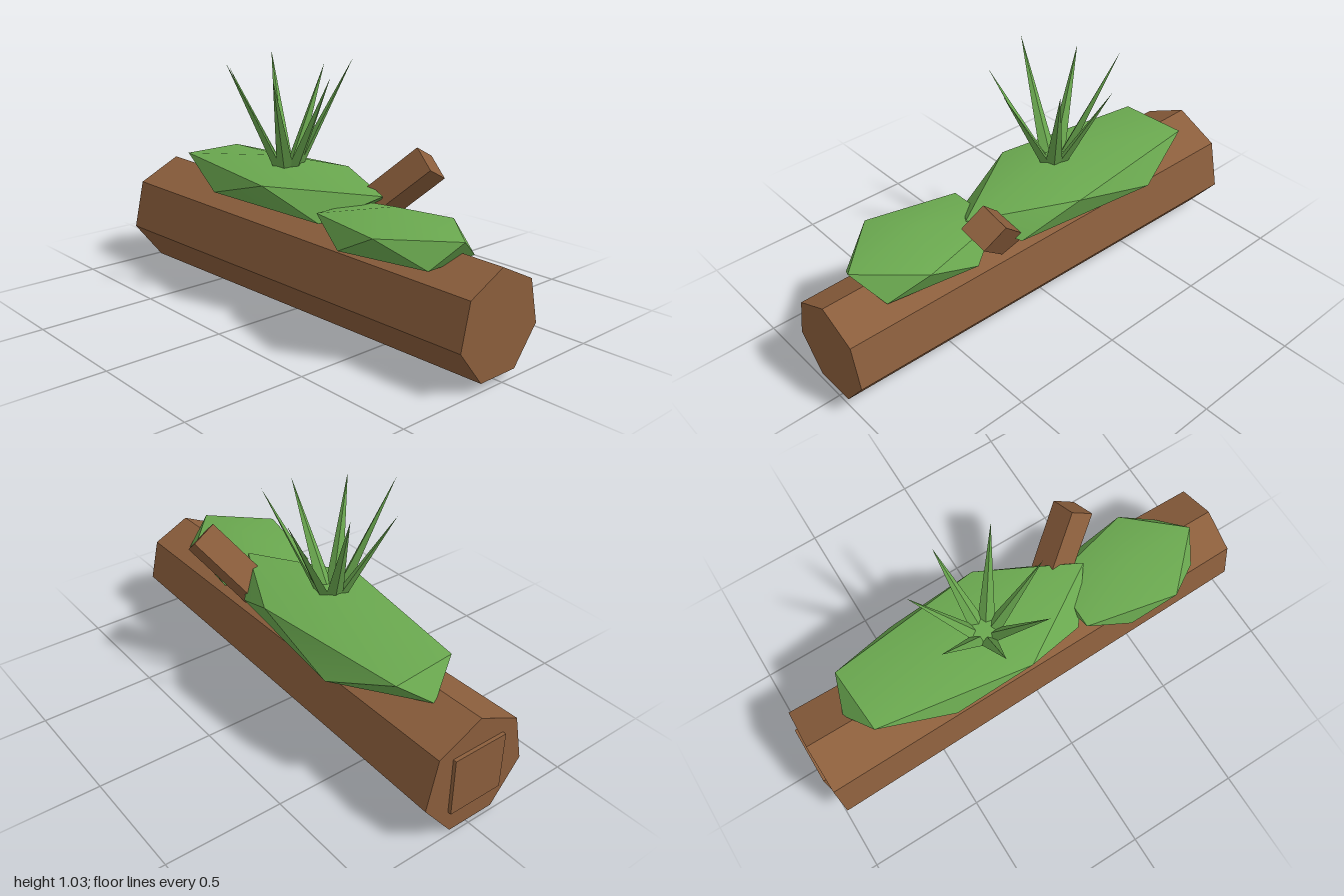
import * as THREE from 'three';
import { toCreasedNormals } from 'three/addons/utils/BufferGeometryUtils.js';

const bark = new THREE.MeshStandardMaterial({ color: 0x8b5e3c, name: 'bark' });
const leaf = new THREE.MeshStandardMaterial({ color: 0x6aa84f, name: 'leaf green' });

function part(name, geometry, material, crease = 0.1) {
  const mesh = new THREE.Mesh(toCreasedNormals(geometry, crease), material);
  mesh.name = name;
  return mesh;
}

// Faceted moss cushion: two staggered five-point rings closed by a crown and a base point
function mossGeometry(crown, upper, lower, base) {
  const points = [];
  for (let i = 0; i < 5; i++) {
    const j = (i + 1) % 5;
    points.push(...crown, ...upper[i], ...upper[j]);
    points.push(...upper[i], ...lower[i], ...upper[j]);
    points.push(...lower[i], ...lower[j], ...upper[j]);
    points.push(...lower[j], ...lower[i], ...base);
  }
  const geometry = new THREE.BufferGeometry();
  geometry.setAttribute('position', new THREE.Float32BufferAttribute(points, 3));
  return geometry;
}

// Slim four-sided blade from base to tip, its broad side facing outward
function bladeGeometry(base, tip, outward) {
  const axis = tip.clone().sub(base);
  const length = axis.length();
  axis.normalize();
  const side = new THREE.Vector3().crossVectors(axis, outward).normalize();
  const face = new THREE.Vector3().crossVectors(side, axis);
  const geometry = new THREE.ConeGeometry(1, length, 4);
  geometry.translate(0, length / 2, 0);
  geometry.scale(0.036, 1, 0.02);
  geometry.applyMatrix4(new THREE.Matrix4().makeBasis(side, axis, face).setPosition(base));
  return geometry;
}

export function createModel() {
  const model = new THREE.Group();
  model.name = 'mossyLog';

  // Tapered seven-sided log lying along x
  const log = new THREE.CylinderGeometry(0.212, 0.248, 1.985, 7, 1, false, -Math.PI / 2);
  log.rotateZ(-Math.PI / 2).translate(0.0075, 0.227, 0.025);
  model.add(part('log', log, bark));

  // Raised square plate on the thick end
  const plate = new THREE.BoxGeometry(0.03, 0.25, 0.25).translate(-0.985, 0.227, 0.025);
  model.add(part('endPlate', plate, bark));

  // Broken branch stub leaning up and back
  const axis = new THREE.Vector3(0.62, 0.655, -0.433).normalize();
  const across = new THREE.Vector3(0.09, -0.072, 0.02);
  across.addScaledVector(axis, -across.dot(axis)).normalize();
  const depth = new THREE.Vector3().crossVectors(across, axis);
  const branch = new THREE.BoxGeometry(0.118, 0.5, 0.12).translate(0, -0.25, 0);
  branch.applyMatrix4(new THREE.Matrix4().makeBasis(across, axis, depth).setPosition(0.437, 0.66, -0.225));
  model.add(part('branch', branch, bark));

  // Moss cushions
  model.add(part('largeMoss', mossGeometry(
    [-0.2, 0.614, 0],
    [[0.37, 0.545, -0.03], [-0.05, 0.555, -0.24], [-0.74, 0.55, -0.16], [-0.72, 0.555, 0.13], [-0.05, 0.55, 0.235]],
    [[0.2, 0.44, -0.17], [-0.45, 0.44, -0.25], [-0.8, 0.445, -0.02], [-0.4, 0.45, 0.22], [0.22, 0.44, 0.17]],
    [-0.2, 0.41, 0]), leaf, 0.6));
  model.add(part('smallMoss', mossGeometry(
    [0.52, 0.555, 0.06],
    [[0.86, 0.5, 0.06], [0.63, 0.495, -0.145], [0.24, 0.495, -0.05], [0.24, 0.495, 0.2], [0.63, 0.505, 0.285]],
    [[0.79, 0.405, -0.08], [0.4, 0.405, -0.14], [0.23, 0.42, 0.05], [0.43, 0.405, 0.265], [0.8, 0.405, 0.18]],
    [0.52, 0.38, 0.05]), leaf, 0.6));

  // Tuft of seven blades fanning outward
  const tuft = new THREE.Group();
  tuft.name = 'grassTuft';
  const tipHeights = [0.985, 0.985, 1.035, 0.985, 1.035, 0.985, 1.035];
  tipHeights.forEach((height, i) => {
    const angle = (i / 7) * Math.PI * 2;
    const outward = new THREE.Vector3(Math.cos(angle), 0, Math.sin(angle));
    const base = new THREE.Vector3(-0.145, 0.585, 0.022).addScaledVector(outward, 0.045);
    const tip = new THREE.Vector3(-0.145, height, 0.022).addScaledVector(outward, height > 1 ? 0.272 : 0.266);
    tuft.add(part('grassBlade', bladeGeometry(base, tip, outward), leaf));
  });
  model.add(tuft);

  return model;
}
